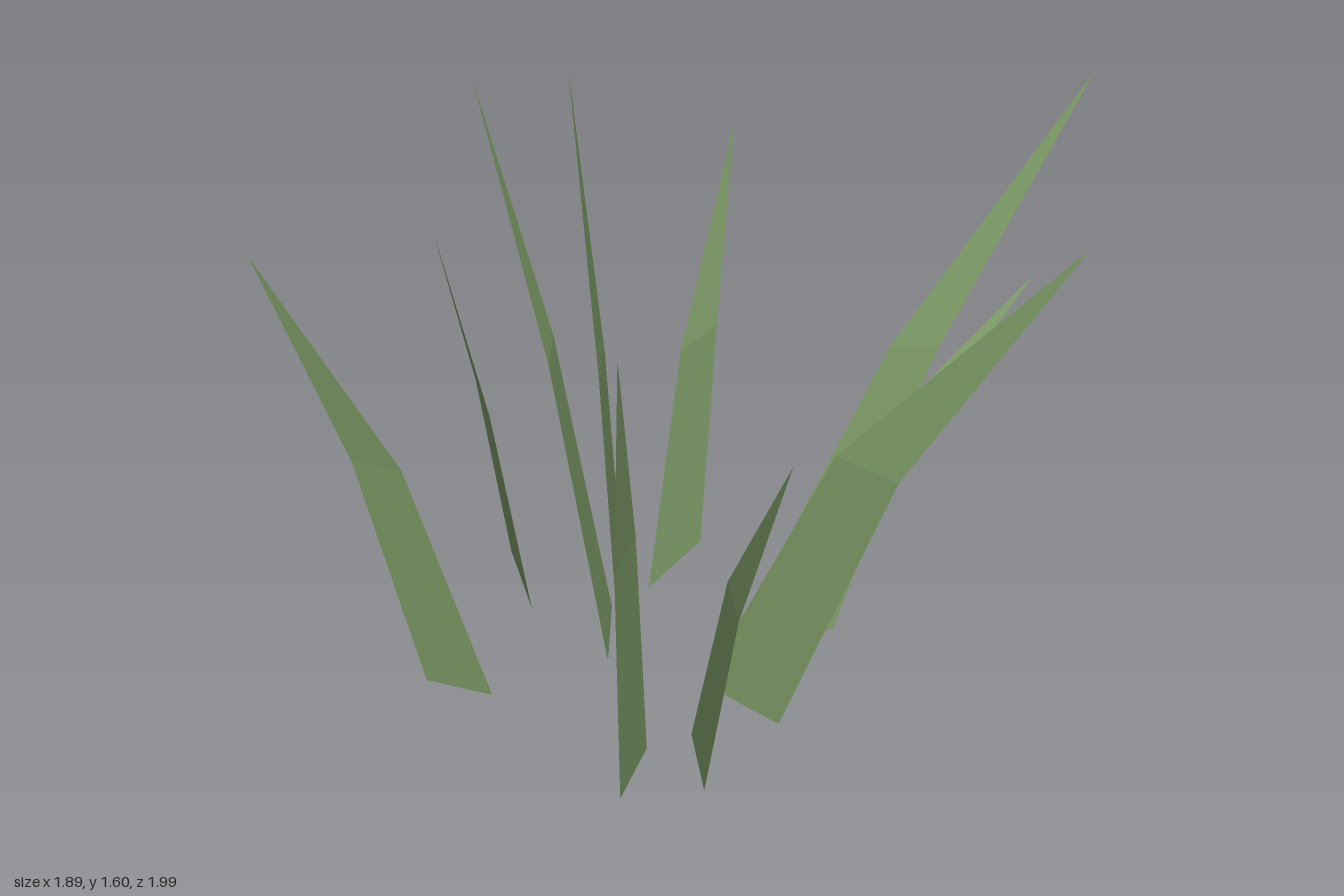
import * as THREE from 'three';

const MID_HEIGHT = 0.555; // bend height as a share of the tip height
const MID_WIDTH = 0.71;   // width at the bend as a share of the base width

// One flat blade: a tapering lower quad that bends into a pointed upper triangle
function makeBlade([ax, az, bx, bz], [mx, mz], tip, material) {
  const hx = (bx - ax) * MID_WIDTH / 2;
  const hz = (bz - az) * MID_WIDTH / 2;
  const my = tip[1] * MID_HEIGHT;
  const geometry = new THREE.BufferGeometry();
  geometry.setAttribute('position', new THREE.Float32BufferAttribute([
    ax, 0, az, bx, 0, bz,
    mx - hx, my, mz - hz, mx + hx, my, mz + hz,
    ...tip,
  ], 3));
  geometry.setIndex([0, 1, 3, 0, 3, 2, 2, 3, 4]);
  const flat = geometry.toNonIndexed();
  flat.computeVertexNormals();
  return new THREE.Mesh(flat, material);
}

export function createModel() {
  const group = new THREE.Group();
  group.name = 'grassTuft';

  const grassGreen = new THREE.MeshStandardMaterial({ color: 0x7d9a66 });
  grassGreen.name = 'grassGreen';
  grassGreen.side = THREE.DoubleSide;
  grassGreen.flatShading = true;

  // Each blade: base corners (x, z, x, z), bend centre (x, z), tip (x, y, z)
  const blades = [
    { base: [-0.20, -0.06, -0.11, -0.31], mid: [-0.165, -0.51], tip: [-0.18, 1.08, -0.99] },
    { base: [-0.28, 0.05, -0.22, 0.28], mid: [-0.485, -0.115], tip: [-0.835, 1.335, -0.54] },
    { base: [-0.19, 0.18, -0.145, 0.39], mid: [-0.25, 0.147], tip: [-0.385, 1.6, -0.08] },
    { base: [-0.65, -0.12, -0.50, 0.12], mid: [-0.688, -0.085], tip: [-0.85, 1.02, -0.21] },
    { base: [-0.68, 0.48, -0.485, 0.49], mid: [-0.725, 0.535], tip: [-0.95, 1.355, 0.605] },
    { base: [0.175, 0.055, 0.36, -0.01], mid: [0.435, -0.1], tip: [0.79, 0.985, -0.44] },
    { base: [0.10, 0.095, 0.28, 0.03], mid: [0.515, -0.172], tip: [0.885, 1.575, -0.475] },
    { base: [0.06, 0.30, 0.295, 0.405], mid: [0.488, 0.372], tip: [0.945, 1.525, 0.40] },
    { base: [0.08, 0.50, 0.165, 0.69], mid: [0.243, 0.717], tip: [0.41, 1.195, 0.885] },
    { base: [-0.02, 0.58, -0.035, 0.77], mid: [0.01, 0.805], tip: [0.07, 1.475, 1.0] },
  ];

  blades.forEach(({ base, mid, tip }, i) => {
    const blade = makeBlade(base, mid, tip, grassGreen);
    blade.name = `grassBlade${i + 1}`;
    group.add(blade);
  });

  return group;
}
